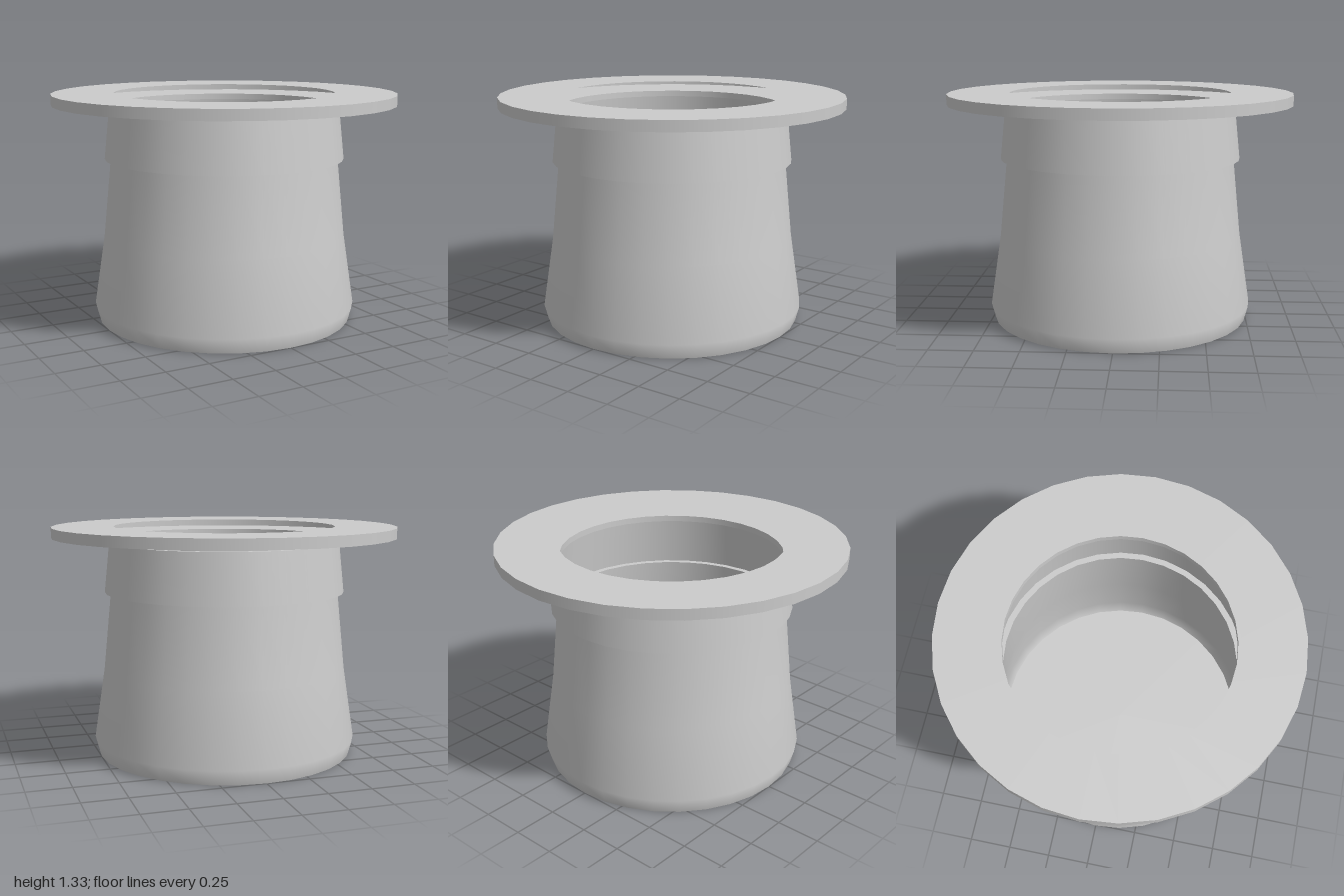
import * as THREE from 'three';

const SIDES = 32;
const material = new THREE.MeshStandardMaterial({ color: 0xcccccc, side: THREE.DoubleSide });

// Smooth surface of revolution through [radius, height] points
function ring(name, points) {
  const profile = points.map(([r, y]) => new THREE.Vector2(r, y));
  const mesh = new THREE.Mesh(new THREE.LatheGeometry(profile, SIDES), material);
  mesh.name = name;
  return mesh;
}

// One part whose profile corners all stay sharp
function sharpPart(name, points) {
  const part = new THREE.Group();
  part.name = name;
  for (let i = 1; i < points.length; i++) {
    part.add(ring(`${name}Face${i}`, [points[i - 1], points[i]]));
  }
  return part;
}

export function createModel() {
  const hat = new THREE.Group();
  hat.name = 'upturnedTopHat';

  // Closed crown end, resting on the ground
  hat.add(ring('crownTop', [[0, 0], [0.75, 0]]));

  // Tapering crown wall, an open thin shell
  hat.add(ring('crownWall', [[0.75, 0], [0.773, 0.085], [0.71, 0.5], [0.665, 0.95]]));

  // Hat band: stepped out from the wall, hollow inside
  hat.add(sharpPart('hatBand', [[0.665, 0.95], [0.7, 0.95], [0.67, 1.235], [0.637, 1.235]]));

  // Short neck between band and brim
  hat.add(ring('neck', [[0.637, 1.235], [0.637, 1.27]]));

  // Wide flat brim, open at its inner edge
  hat.add(sharpPart('brim', [[0.637, 1.27], [1, 1.27], [1, 1.33], [0.643, 1.33]]));

  return hat;
}
